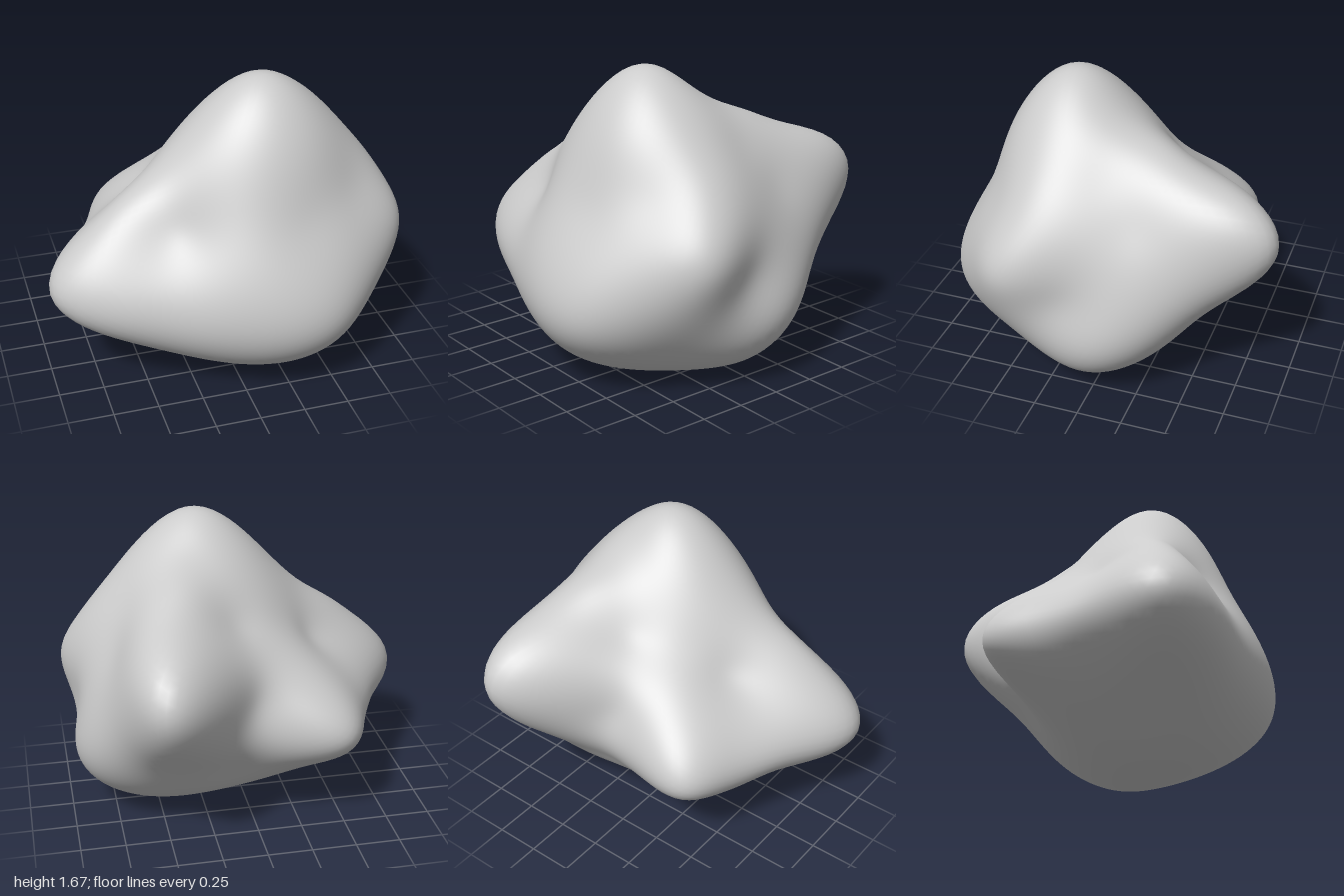
import * as THREE from 'three';
import { mergeVertices } from 'three/addons/utils/BufferGeometryUtils.js';

// Landmarks on the stone's surface: peaks, ridges, saddles and faces.
const landmarks = [
  // summit and the ridges falling from it
  [0.2, 1.66, 0.2], [-0.05, 1.52, 0.19], [-0.3, 1.27, 0.27], [-0.6, 1.04, 0.32],
  [0.47, 1.54, 0.2], [0.66, 1.35, 0.23], [0.82, 1.15, 0.29], [0.4, 1.33, 0.58],
  [0.33, 0.97, 0.74], [0.25, 1.5, -0.02], [0.32, 1.36, -0.3],
  // left tip and the edge running back from it
  [-1, 0.62, 0.36], [-0.94, 0.58, 0.51], [-0.68, 0.56, 0.67], [-0.75, 0.33, 0.3],
  [-0.75, 0.57, -0.11],
  // back tip
  [0.49, 1.19, -0.78], [0.5, 0.95, -0.95], [0.65, 0.92, -0.84], [0.34, 0.9, -0.85],
  [0.5, 0.72, -0.83], [0.48, 0.46, -0.57],
  // back corner, the saddle beside it and the sloping face above
  [-0.48, 0.58, -0.61], [0.03, 0.8, -0.55], [0.1, 1.18, -0.31], [-0.42, 0.95, -0.02],
  [-0.2, 1.11, -0.15], [-0.35, 0.33, -0.4], [0.1, 0.4, -0.47], [-0.7, 0.4, 0],
  // front rim
  [-0.25, 0.46, 0.82], [0.2, 0.41, 0.94], [0.47, 0.43, 0.91], [0.88, 0.66, 0.6],
  [0.25, 0.16, 0.78], [-0.35, 0.92, 0.55], [0.67, 1.05, 0.56],
  // right side: upper bulge, saddle, lower bulge and the face behind
  [1, 0.78, 0.42], [0.93, 0.61, 0.12], [0.97, 0.42, -0.03], [0.91, 0.45, -0.26],
  [0.84, 0.78, -0.32], [0.66, 1.27, -0.03], [0.74, 1.05, -0.25],
  // underside
  [0.25, 0, 0.1], [-0.38, 0.17, 0.2], [0.82, 0.13, 0.05], [0.48, 0.17, -0.31],
  [0.75, 0.28, 0.5],
].map((p) => new THREE.Vector3(...p));

const center = new THREE.Vector3(0.1, 0.75, 0.05);
const kernel = (a, b) => Math.sqrt(a.distanceToSquared(b) + 0.05);

// Solves the square linear system m * x = v by elimination with pivoting.
function solve(m, v) {
  const n = v.length;
  const a = m.map((row, i) => [...row, v[i]]);
  for (let c = 0; c < n; c++) {
    let p = c;
    for (let r = c + 1; r < n; r++) if (Math.abs(a[r][c]) > Math.abs(a[p][c])) p = r;
    [a[c], a[p]] = [a[p], a[c]];
    for (let r = c + 1; r < n; r++) {
      const f = a[r][c] / a[c][c];
      for (let k = c; k <= n; k++) a[r][k] -= f * a[c][k];
    }
  }
  const x = new Array(n).fill(0);
  for (let r = n - 1; r >= 0; r--) {
    let s = a[r][n];
    for (let k = r + 1; k < n; k++) s -= a[r][k] * x[k];
    x[r] = s / a[r][r];
  }
  return x;
}

// Smooth inverse-radius field through the landmarks (flat faces stay flat).
function makeRadius() {
  const rays = landmarks.map((p) => p.clone().sub(center));
  const dirs = rays.map((r) => r.clone().normalize());
  const matrix = dirs.map((a, i) => dirs.map((b, j) => kernel(a, b) - (i === j ? 0.004 : 0)));
  const weights = solve(matrix, rays.map((r) => 1 / r.length()));
  return (d) => 1 / dirs.reduce((s, q, i) => s + weights[i] * kernel(d, q), 0);
}

export function createModel() {
  const group = new THREE.Group();
  group.name = 'boulder';

  // Push every point of a fine ball out to the stone's surface
  let geometry = new THREE.IcosahedronGeometry(1, 24);
  geometry.deleteAttribute('normal');
  geometry.deleteAttribute('uv');
  geometry = mergeVertices(geometry, 1e-4);
  const radius = makeRadius();
  const position = geometry.attributes.position;
  const d = new THREE.Vector3();
  for (let i = 0; i < position.count; i++) {
    d.fromBufferAttribute(position, i).normalize();
    d.multiplyScalar(radius(d)).add(center);
    position.setXYZ(i, d.x, d.y, d.z);
  }
  geometry.computeVertexNormals();

  const stone = new THREE.Mesh(geometry, new THREE.MeshStandardMaterial({ color: 0xcccccc }));
  stone.name = 'stone';
  group.add(stone);
  return group;
}
